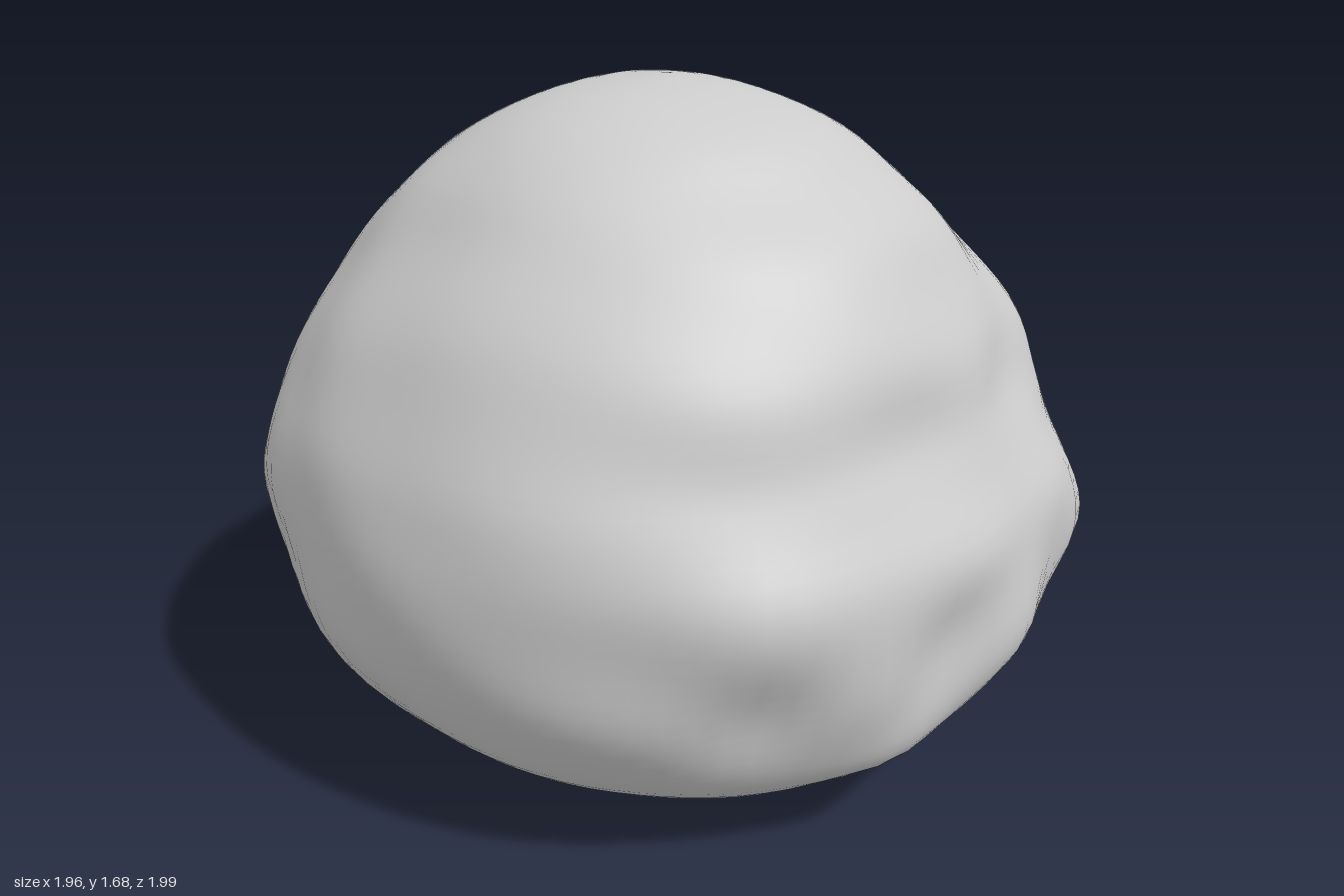
import * as THREE from 'three';

const SEGMENTS = 88, RINGS = 64;

// Height, then reach to -x, +x, +z (front) and -z (back)
const PROFILE = [
  [0.015, 0, 0, 0, 0],
  [0.01, 0.22, 0.2, 0.25, 0.25],
  [0.025, 0.43, 0.37, 0.5, 0.48],
  [0.1, 0.62, 0.58, 0.68, 0.65],
  [0.2, 0.77, 0.75, 0.82, 0.79],
  [0.31, 0.87, 0.85, 0.92, 0.88],
  [0.45, 0.94, 0.93, 0.98, 0.94],
  [0.6, 0.97, 0.97, 0.99, 0.97],
  [0.75, 0.98, 0.98, 0.98, 0.985],
  [0.88, 0.96, 0.94, 0.91, 0.965],
  [1.0, 0.92, 0.86, 0.85, 0.92],
  [1.15, 0.85, 0.77, 0.82, 0.83],
  [1.28, 0.76, 0.69, 0.75, 0.74],
  [1.4, 0.66, 0.6, 0.67, 0.65],
  [1.5, 0.56, 0.48, 0.54, 0.55],
  [1.6, 0.42, 0.3, 0.4, 0.36],
  [1.66, 0.24, 0.16, 0.2, 0.2],
  [1.685, 0, 0, 0, 0],
];

// Local swellings and hollows: x, y, z, radius, push
const BUMPS = [
  [-0.15, 0.54, 1.0, 0.15, -0.04],   // hollow under the front ledge
  [-0.58, 0.46, 0.78, 0.13, -0.05],
  [-0.25, 0.29, 0.88, 0.13, 0.03],   // lower lip
  [0.08, 0.46, 0.97, 0.14, 0.015],   // upright ridge
  [-0.6, 0.68, 0.75, 0.18, 0.04],    // corners of the ledge
  [0.53, 0.6, 0.84, 0.16, 0.055],
  [0.82, 0.5, 0.52, 0.18, -0.025],   // chamfer beside the left corner
  [0.54, 1.02, 0.62, 0.2, 0.06],     // broad upper brow
  [-0.5, 1.12, 0.6, 0.25, 0.02],
  [0.38, 1.38, 0.46, 0.14, -0.04],   // hollow above the brow
  [0.76, 0.95, 0.28, 0.15, -0.04],   // dents on the left side
  [0.62, 1.3, 0.08, 0.12, -0.03],
  [-0.64, 0.65, -0.74, 0.28, 0.025], // fuller back corners
  [0.74, 0.65, -0.64, 0.25, 0.015],
];

function lumps(x, y, z) {
  return 0.008 * Math.sin(7 * x + 4 * y + 1) * Math.sin(6 * z - 5 * y)
    + 0.007 * Math.sin(13 * x - 7 * z) * Math.sin(14 * y + 5 * z + 2);
}

function boulderGeometry() {
  const sides = new THREE.CatmullRomCurve3(PROFILE.map(p => new THREE.Vector3(p[0], p[1], p[2])));
  const depth = new THREE.CatmullRomCurve3(PROFILE.map(p => new THREE.Vector3(p[0], p[3], p[4])));
  const positions = [], index = [];

  for (let j = 0; j <= RINGS; j++) {
    const a = sides.getPoint(j / RINGS), b = depth.getPoint(j / RINGS);
    const pole = j === 0 || j === RINGS;
    for (let i = 0; i < SEGMENTS; i++) {
      const angle = i / SEGMENTS * Math.PI * 2;
      const c = Math.cos(angle), s = Math.sin(angle);
      let r = 0;
      if (!pole) {
        const rx = Math.max(c > 0 ? a.z : a.y, 0.01);
        const rz = Math.max(s > 0 ? b.y : b.z, 0.01);
        r = Math.pow(Math.pow(Math.abs(c) / rx, 2.08) + Math.pow(Math.abs(s) / rz, 2.08), -1 / 2.08);
        const x = r * c, z = r * s;
        let push = lumps(x, a.x, z) * Math.min(1, r * 2);
        for (const [bx, by, bz, size, amount] of BUMPS) {
          const d2 = (x - bx) ** 2 + (a.x - by) ** 2 + (z - bz) ** 2;
          push += amount * Math.exp(-d2 / (size * size));
        }
        r += push;
      }
      positions.push(r * c, Math.max(a.x, 0), r * s);
    }
  }

  // Every pole corner uses one shared vertex so the shading stays smooth there
  const last = RINGS * SEGMENTS;
  const vertex = (j, i) => (j === 0 ? 0 : j === RINGS ? last : j * SEGMENTS + i % SEGMENTS);
  for (let j = 0; j < RINGS; j++) {
    for (let i = 0; i < SEGMENTS; i++) {
      if (j < RINGS - 1) index.push(vertex(j + 1, i), vertex(j + 1, i + 1), vertex(j, i + 1));
      if (j > 0) index.push(vertex(j, i), vertex(j + 1, i), vertex(j, i + 1));
    }
  }

  const geometry = new THREE.BufferGeometry();
  geometry.setAttribute('position', new THREE.Float32BufferAttribute(positions, 3));
  geometry.setIndex(index);
  geometry.computeVertexNormals();
  return geometry;
}

export function createModel() {
  const group = new THREE.Group();
  group.name = 'boulder';
  const stone = new THREE.MeshStandardMaterial({ color: 0xcccccc });
  stone.name = 'stone grey';
  const rock = new THREE.Mesh(boulderGeometry(), stone);
  rock.name = 'rockBody';
  group.add(rock);
  return group;
}
